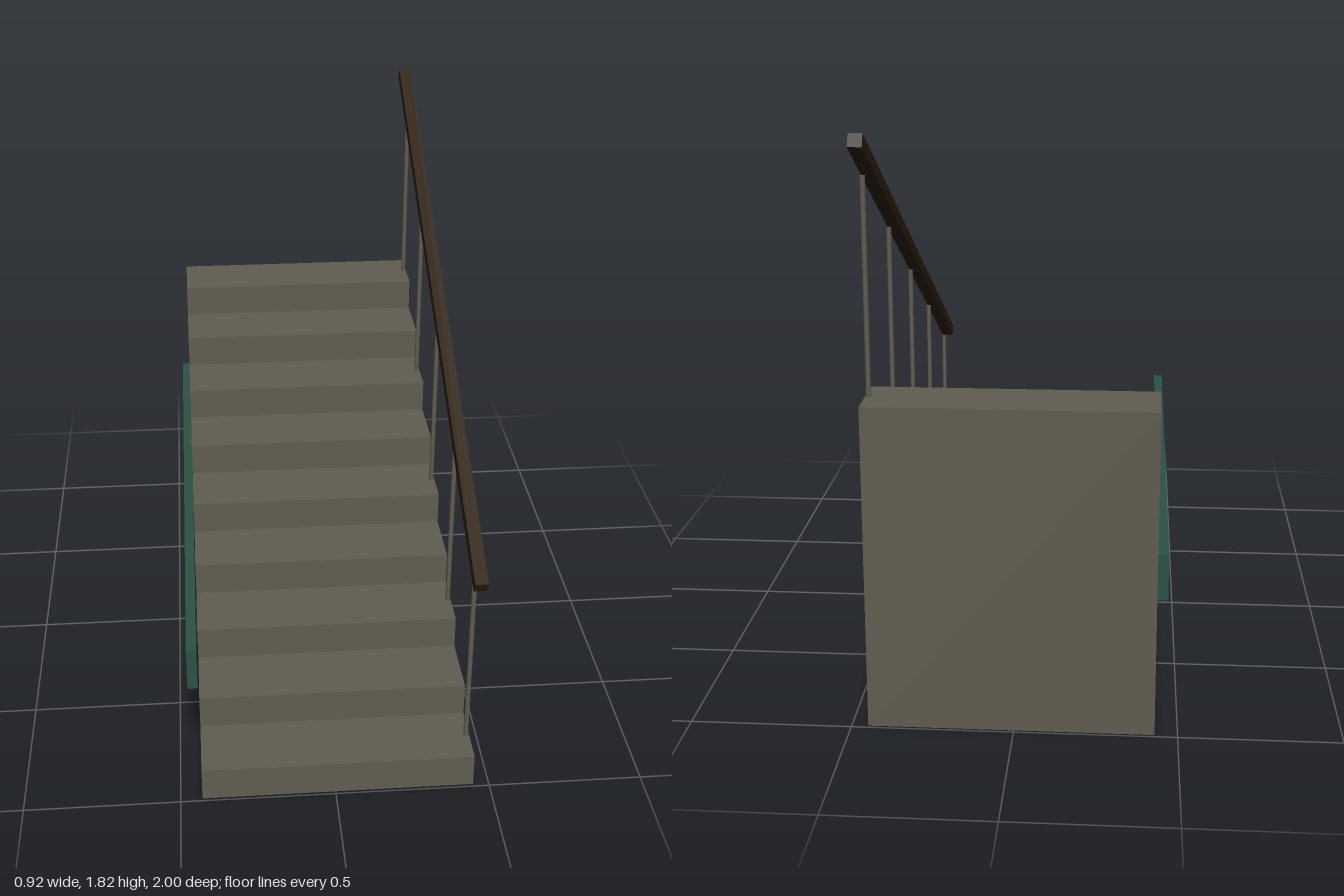
import * as THREE from 'three';

const mat = (name, color, side = THREE.FrontSide) => {
  const m = new THREE.MeshStandardMaterial({ color, side });
  m.name = name;
  return m;
};

export function createModel() {
  const group = new THREE.Group();
  const stone = mat('stone', 0x605c50);
  const wood = mat('dark wood', 0x2e2010);
  const green = mat('green board', 0x2d5245);

  const add = (name, geometry, material, x = 0, y = 0, z = 0) => {
    const mesh = new THREE.Mesh(geometry, material);
    mesh.name = name;
    mesh.position.set(x, y, z);
    group.add(mesh);
    return mesh;
  };

  // Solid staircase: stepped side profile (u = -z) extruded across the width
  const steps = 9, run = 0.22, rise = 1.024 / steps;
  const left = -0.43, right = 0.449;
  const profile = new THREE.Shape();
  profile.moveTo(-0.99, 0);
  for (let i = 0; i < steps; i++) {
    profile.lineTo(-0.99 + i * run, (i + 1) * rise);
    profile.lineTo(-0.99 + (i + 1) * run, (i + 1) * rise);
  }
  profile.lineTo(0.99, 0);
  const stairs = new THREE.ExtrudeGeometry(profile, { depth: right - left, bevelEnabled: false });
  stairs.rotateY(Math.PI / 2);
  add('staircase', stairs, stone, left);

  // Balusters on every second step
  for (let i = 0; i < 5; i++) {
    const base = (2 * i + 1) * rise;
    add('baluster', new THREE.CylinderGeometry(0.008, 0.008, 0.66, 10), stone,
      0.438, base + 0.33, 0.88 - i * 0.44);
  }

  // Sloping handrail
  const rail = add('handrail', new THREE.BoxGeometry(0.042, 0.042, 2.231), wood, 0.436, 1.284, 0);
  rail.rotation.x = 0.4787;

  // Side board
  add('sideBoard', new THREE.BoxGeometry(0.032, 0.145, 1.98), green, -0.446, 0.516, 0);

  // Rounded patches painted on the board
  const patch = new THREE.Shape();
  patch.moveTo(-0.785, 0.445);
  patch.quadraticCurveTo(-0.81, 0.475, -0.816, 0.505);
  patch.bezierCurveTo(-0.815, 0.55, -0.79, 0.568, -0.758, 0.568);
  patch.bezierCurveTo(-0.71, 0.568, -0.71, 0.54, -0.69, 0.51);
  patch.quadraticCurveTo(-0.675, 0.47, -0.64, 0.445);
  patch.closePath();
  const patchGeometry = new THREE.ShapeGeometry(patch, 8);
  add('innerPatch', patchGeometry, stone, -0.4285).rotation.y = Math.PI / 2;
  for (const shift of [0, 1.08]) {
    add('outerPatch', patchGeometry, stone, -0.4635, 0, shift).rotation.y = -Math.PI / 2;
  }

  return group;
}
